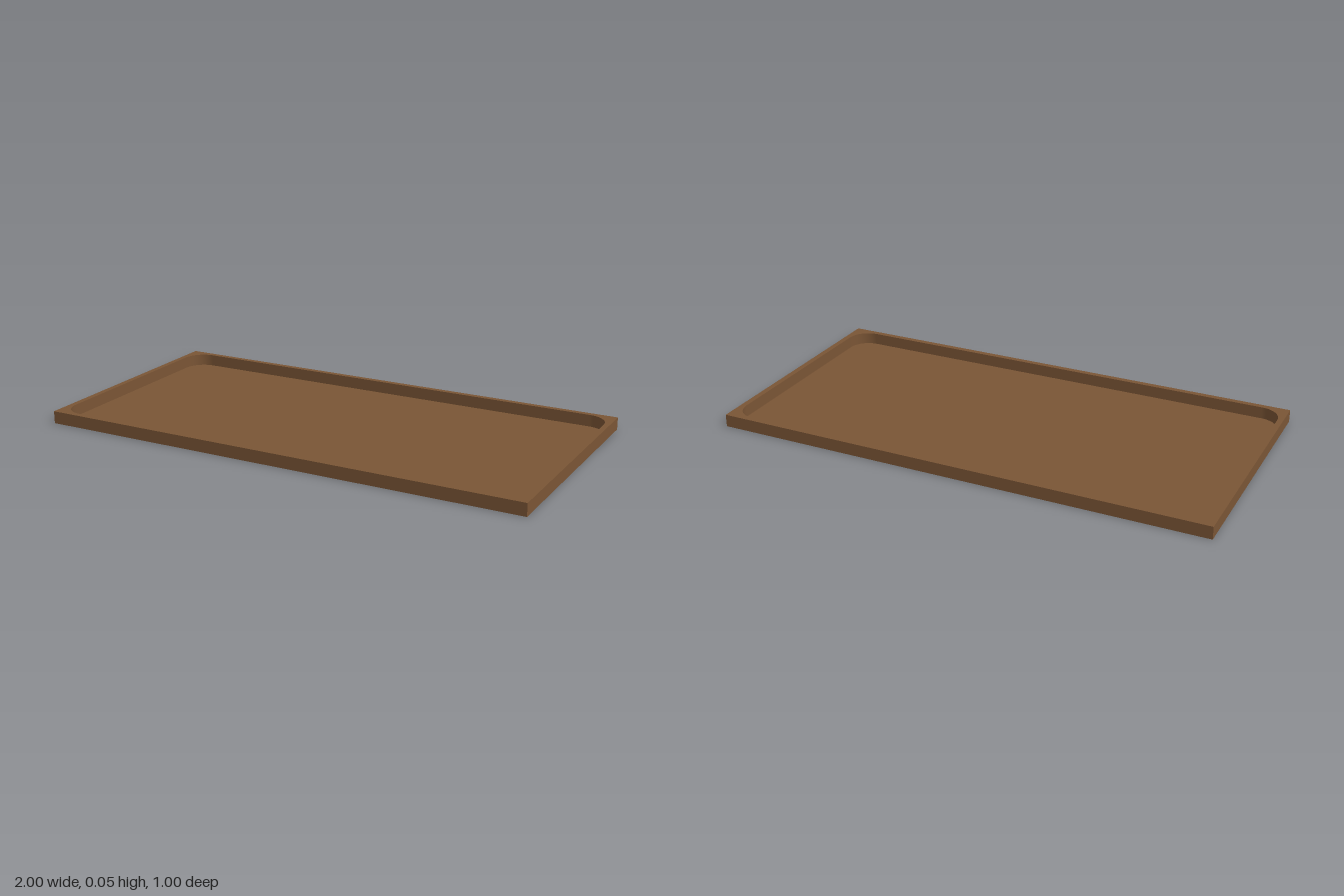
import * as THREE from 'three';

const W = 2, D = 1, H = 0.05;   // overall size
const RIM = 0.023;              // rim width
const R = 0.085;                // corner radius of the recess
const FLOOR = 0.002;            // floor height

// Rounded rectangle, counter-clockwise
function roundedRect(Class, w, d, r) {
  const s = new Class(), x = w / 2 - r, y = d / 2 - r;
  s.absarc(x, y, r, 0, Math.PI / 2);
  s.absarc(-x, y, r, Math.PI / 2, Math.PI);
  s.absarc(-x, -y, r, Math.PI, Math.PI * 1.5);
  s.absarc(x, -y, r, Math.PI * 1.5, Math.PI * 2);
  s.closePath();
  return s;
}

// Upright band following a closed outline, facing outward or inward
function band(points, y0, y1, inward) {
  const pos = [], idx = [], n = points.length;
  points.forEach((p) => pos.push(p.x, y0, -p.y, p.x, y1, -p.y));
  for (let i = 0; i < n; i++) {
    const a = 2 * i, b = 2 * ((i + 1) % n);
    if (inward) idx.push(a, b + 1, b, a, a + 1, b + 1);
    else idx.push(a, b, b + 1, a, b + 1, a + 1);
  }
  const g = new THREE.BufferGeometry();
  g.setAttribute('position', new THREE.Float32BufferAttribute(pos, 3));
  g.setIndex(idx);
  g.computeVertexNormals();
  return g;
}

export function createModel() {
  const group = new THREE.Group();
  group.name = 'tray';
  const wood = new THREE.MeshStandardMaterial({ color: 0x7a5535, side: THREE.DoubleSide });
  const flatWood = wood.clone();
  flatWood.flatShading = true;

  const add = (name, geometry, material, y = 0) => {
    const mesh = new THREE.Mesh(geometry, material);
    mesh.name = name;
    mesh.position.y = y;
    group.add(mesh);
  };

  const iw = W - 2 * RIM, id = D - 2 * RIM;
  const corners = [[1, 1], [-1, 1], [-1, -1], [1, -1]]
    .map(([x, y]) => new THREE.Vector2(x * W / 2, y * D / 2));

  // Square outer wall, open underneath
  add('outerWall', band(corners, 0, H, false), flatWood);

  // Flat rim with a rounded opening
  const rim = new THREE.Shape(corners);
  rim.holes.push(roundedRect(THREE.Path, iw, id, R));
  add('rim', new THREE.ShapeGeometry(rim, 12).rotateX(-Math.PI / 2), wood, H);

  // Recess: rounded inner wall and floor
  const recess = roundedRect(THREE.Shape, iw, id, R);
  const outline = recess.getPoints(12);
  if (outline[0].distanceTo(outline[outline.length - 1]) < 1e-6) outline.pop();
  add('innerWall', band(outline, FLOOR, H, true), wood);
  add('floor', new THREE.ShapeGeometry(recess, 12).rotateX(-Math.PI / 2), wood, FLOOR);

  return group;
}
